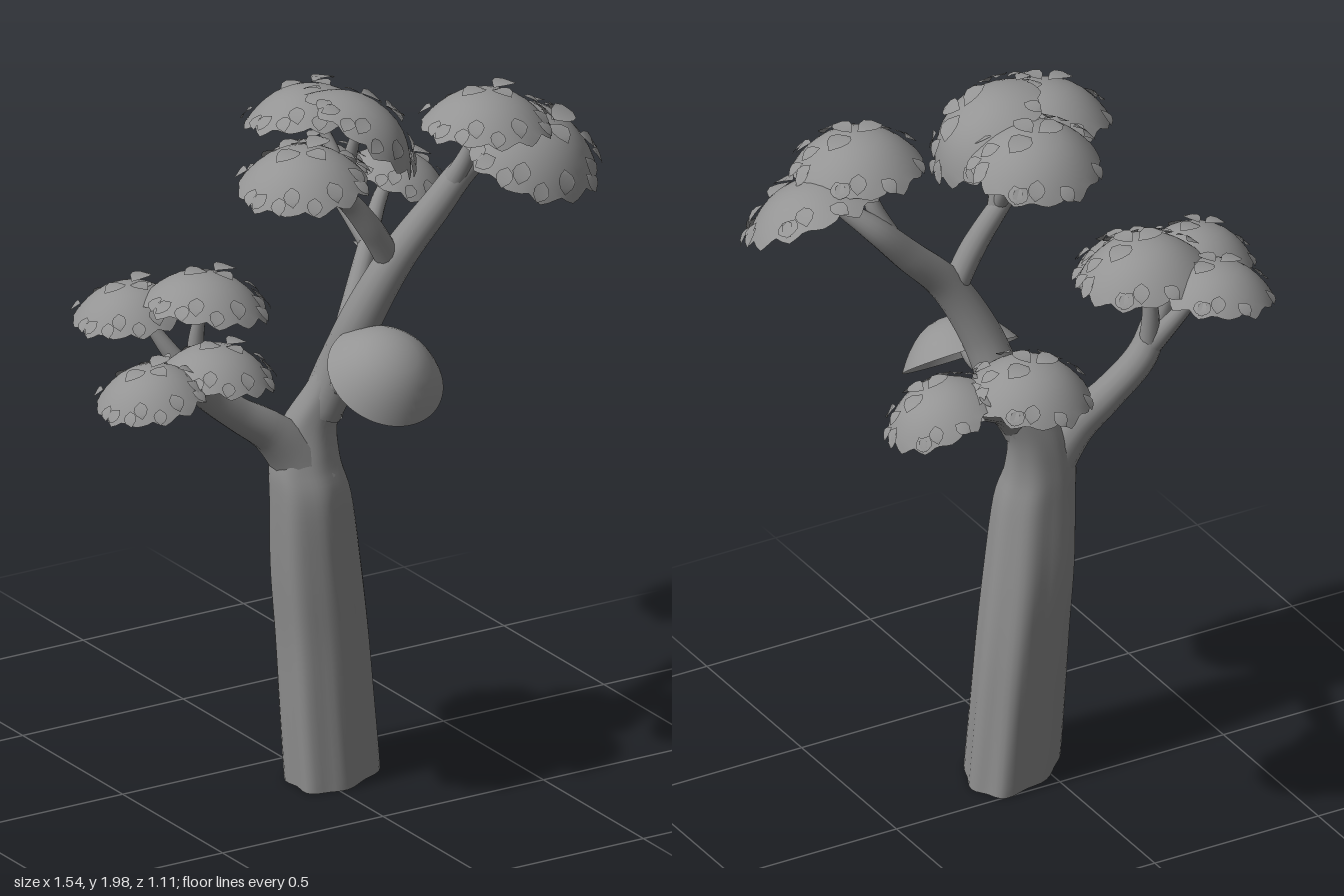
import * as THREE from 'three';
import { mergeVertices, mergeGeometries } from 'three/addons/utils/BufferGeometryUtils.js';

const bark = new THREE.MeshStandardMaterial({ color: 0x8c8c8c, side: THREE.DoubleSide });
const leafMat = new THREE.MeshStandardMaterial({ color: 0x949494, side: THREE.DoubleSide });
const V = (x, y, z) => new THREE.Vector3(x, y, z);

function add(parent, geometry, material, name) {
  const mesh = new THREE.Mesh(geometry, material);
  mesh.name = name;
  parent.add(mesh);
  return mesh;
}

// join the seam and smooth the normals of a reshaped geometry
function smooth(geometry) {
  geometry.deleteAttribute('uv');
  geometry.deleteAttribute('normal');
  const merged = mergeVertices(geometry, 1e-5);
  merged.computeVertexNormals();
  return merged;
}

// trunk extents by height: y, x min, x max, z min, z max
const TRUNK = [
  [0, -0.09, 0.22, 0, 0.285], [0.2, -0.095, 0.2, 0, 0.27], [0.4, -0.1, 0.178, 0, 0.26],
  [0.6, -0.113, 0.148, 0.01, 0.255], [0.8, -0.118, 0.112, 0.035, 0.245],
  [0.9, -0.112, 0.085, 0.047, 0.212], [1.0, -0.075, 0.085, 0.06, 0.185],
  [1.1, -0.005, 0.125, 0.085, 0.19], [1.2, 0.045, 0.15, 0.115, 0.215],
];

// hollow trunk, its section stretched along one diagonal near the ground
function trunkGeometry() {
  const curves = [1, 2, 3, 4].map(k => new THREE.SplineCurve(TRUNK.map(r => new THREE.Vector2(r[0], r[k]))));
  const geometry = new THREE.CylinderGeometry(1, 1, 1, 48, 36, true);
  const p = geometry.attributes.position;
  for (let i = 0; i < p.count; i++) {
    const t = p.getY(i) + 0.5;
    const [x0, x1, z0, z1] = curves.map(c => c.getPoint(t).y);
    const y = curves[0].getPoint(t).x;
    const a = Math.atan2(p.getZ(i), p.getX(i));
    // soft twisting folds that fade upwards
    const ridge = 1 + (1 - t) * (0.025 * Math.cos(4 * a + Math.PI) + 0.045 * Math.cos(7 * a + 2 * t));
    const skew = 0.42 * Math.max(0, 1 - t * 1.5);
    p.setXYZ(i, (x0 + x1) / 2 + Math.cos(a) * ridge * (x1 - x0) / 2, y,
      (z0 + z1) / 2 + Math.sin(a - skew) * ridge * (z1 - z0) / 2);
  }
  return smooth(geometry);
}

// tapering limb along a curve; each point is x, y, z, radius
function limbGeometry(points) {
  const curve = new THREE.CatmullRomCurve3(points.map(q => V(q[0], q[1], q[2])), false, 'centripetal');
  const steps = points.length * 6, sides = 14;
  const geometry = new THREE.TubeGeometry(curve, steps, 1, sides);
  const p = geometry.attributes.position;
  for (let i = 0; i <= steps; i++) {
    const u = curve.getUtoTmapping(i / steps) * (points.length - 1);
    const k = Math.min(Math.floor(u), points.length - 2);
    const radius = THREE.MathUtils.lerp(points[k][3], points[k + 1][3], u - k);
    const centre = curve.getPointAt(i / steps);
    for (let j = 0; j <= sides; j++) {
      const n = i * (sides + 1) + j;
      const v = V().fromBufferAttribute(p, n).sub(centre).multiplyScalar(radius).add(centre);
      p.setXYZ(n, v.x, v.y, v.z);
    }
  }
  return smooth(geometry);
}

const LIMBS = {
  mainLimb: [[0.03, 1.02, 0.13, 0.06], [0.08, 1.14, 0.15, 0.062], [0.125, 1.3, 0.2, 0.056], [0.21, 1.46, 0.235, 0.049],
    [0.325, 1.58, 0.24, 0.043], [0.42, 1.68, 0.25, 0.036], [0.5, 1.75, 0.3, 0.022], [0.55, 1.8, 0.34, 0.01]],
  upperRightTwig: [[0.37, 1.635, 0.245, 0.03], [0.41, 1.74, 0.28, 0.022], [0.42, 1.88, 0.33, 0.01]],
  crownLimb: [[0.19, 1.45, 0.23, 0.035], [0.13, 1.55, 0.235, 0.034], [0.045, 1.66, 0.235, 0.028],
    [-0.06, 1.735, 0.27, 0.022], [-0.14, 1.79, 0.33, 0.017], [-0.18, 1.84, 0.37, 0.008]],
  crownFrontTwig: [[0.06, 1.64, 0.235, 0.025], [0.045, 1.74, 0.25, 0.022], [0.06, 1.9, 0.29, 0.01]],
  crownBackTwig: [[0.05, 1.66, 0.235, 0.022], [0.05, 1.77, 0.17, 0.018], [0.02, 1.9, 0.09, 0.009]],
  leftLimb: [[0.0, 0.84, 0.14, 0.085], [-0.05, 0.92, 0.13, 0.072], [-0.12, 0.995, 0.125, 0.056], [-0.22, 1.065, 0.12, 0.046],
    [-0.32, 1.15, 0.12, 0.043], [-0.38, 1.23, 0.15, 0.034], [-0.5, 1.28, 0.25, 0.022], [-0.62, 1.31, 0.34, 0.009]],
  leftFrontTwig: [[-0.37, 1.21, 0.14, 0.03], [-0.4, 1.27, 0.23, 0.022], [-0.41, 1.34, 0.34, 0.009]],
  leftBackTwig: [[-0.34, 1.17, 0.12, 0.032], [-0.41, 1.28, 0.07, 0.022], [-0.48, 1.42, 0.0, 0.009]],
  leftInnerTwig: [[-0.34, 1.16, 0.12, 0.03], [-0.34, 1.29, 0.11, 0.022], [-0.32, 1.45, 0.13, 0.009]],
  backLimb: [[0.04, 1.02, 0.15, 0.045], [0.12, 1.12, 0.085, 0.039], [0.25, 1.23, -0.05, 0.03],
    [0.36, 1.32, -0.16, 0.026], [0.46, 1.42, -0.25, 0.02], [0.55, 1.49, -0.3, 0.009]],
  backTwig: [[0.37, 1.33, -0.17, 0.025], [0.35, 1.42, -0.28, 0.018], [0.31, 1.52, -0.38, 0.009]],
  frontTwig: [[0.05, 1.08, 0.14, 0.036], [0.07, 1.14, 0.22, 0.028], [0.1, 1.18, 0.3, 0.021], [0.11, 1.25, 0.36, 0.01]],
};

// broad pointed leaf, one unit long, folded along its midrib
function leafGeometry() {
  const shape = new THREE.Shape();
  shape.moveTo(0, 0);
  shape.quadraticCurveTo(0.8, 0.55, 0, 1);
  shape.quadraticCurveTo(-0.8, 0.55, 0, 0);
  const geometry = new THREE.ShapeGeometry(shape, 4);
  const p = geometry.attributes.position;
  for (let i = 0; i < p.count; i++) p.setZ(i, Math.abs(p.getX(i)) * 0.25 - 0.2 * p.getY(i) ** 2);
  geometry.computeVertexNormals();
  return geometry;
}

const RISE = 0.56; // dome height relative to its radius
const domeY = (rho, rise = RISE) => rise * (0.5 - Math.pow(rho, 2.4));

// unit canopy shell, open below, with a plain or ragged rim
function domeGeometry(ragged, rise) {
  const profile = [1, 0.96, 0.88, 0.78, 0.66, 0.52, 0.36, 0.18, 0].map(r => new THREE.Vector2(r, domeY(r, rise)));
  const geometry = new THREE.LatheGeometry(profile, 60);
  const p = geometry.attributes.position;
  for (let i = 0; ragged && i < p.count; i++) {
    const ring = i % profile.length, column = Math.floor(i / profile.length) % 60;
    if (ring > 0) continue;
    const tooth = [-0.7, 0.3, 1, 0.5, -0.2][column % 5] * (0.7 + 0.4 * Math.sin(Math.floor(column / 5) * 2.3));
    const out = 1 + 0.045 * tooth;
    p.setXYZ(i, p.getX(i) * out, p.getY(i) - 0.08 * tooth, p.getZ(i) * out);
  }
  return smooth(geometry);
}

// loose leaves on a unit dome: x, z, size, heading, lift
const LOOSE = [
  [-0.03, 0.02, 0.45, 3.1, 0.15], [0.12, -0.02, 0.48, -0.3, 0.2], [0.05, 0.06, 0.4, 1.3, 0.2],
  [-0.5, 0.5, 0.33, 2.2, 0.1], [0.05, 0.7, 0.36, 1.6, 0.15], [0.5, 0.5, 0.36, 0.9, 0.15],
  [0.55, 0.15, 0.34, 0.3, 0.2], [0.78, 0.05, 0.34, 0, 0.2], [0.35, -0.65, 0.34, -1, 0.2],
];
for (let i = 0; i < 11; i++) {
  const a = i * Math.PI * 2 / 11 + 0.3 * Math.sin(i * 5);
  LOOSE.push([0.84 * Math.cos(a), 0.84 * Math.sin(a), 0.31, a + 0.4 * Math.sin(i * 3), 0.28]);
}

function looseLeaves() {
  const leaf = leafGeometry();
  return mergeGeometries(LOOSE.map(([x, z, size, heading, lift]) => {
    const rho = Math.hypot(x, z), slope = 2.4 * RISE * Math.pow(rho, 0.4);
    const normal = V(x * slope, 1, z * slope).normalize();
    const along = V(Math.cos(heading), 0, Math.sin(heading)).projectOnPlane(normal).normalize()
      .addScaledVector(normal, lift).normalize();
    const side = along.clone().cross(normal).normalize();
    const matrix = new THREE.Matrix4().makeBasis(side, along, side.clone().cross(along));
    matrix.scale(V(size, size, size)).setPosition(V(x, domeY(rho), z).addScaledVector(normal, 0.03));
    return leaf.clone().applyMatrix4(matrix);
  }));
}

// canopies: centre x, y, z, radius, tilt of the axis in x and z
const CANOPIES = [
  [-0.48, 1.4, -0.005, 0.15, -0.1, 0], [-0.32, 1.44, 0.13, 0.168, 0.15, 0], [-0.63, 1.305, 0.34, 0.145, -0.2, 0.05],
  [-0.41, 1.325, 0.34, 0.15, 0.12, 0.05], [-0.18, 1.84, 0.385, 0.172, -0.1, 0.08], [0.02, 1.89, 0.09, 0.172, 0.05, -0.2],
  [0.085, 1.895, 0.295, 0.175, 0.78, 0.2], [0.42, 1.875, 0.345, 0.172, 0.05, 0.0], [0.57, 1.765, 0.355, 0.19, 0.17, 0.5],
  [0.31, 1.51, -0.39, 0.16, -0.05, -0.15], [0.56, 1.465, -0.3, 0.148, 0.4, 0.1],
];

export function createModel() {
  const tree = new THREE.Group();
  tree.name = 'tree';
  add(tree, trunkGeometry(), bark, 'trunk');
  for (const [name, points] of Object.entries(LIMBS)) add(tree, limbGeometry(points), bark, name);

  const dome = domeGeometry(true), leaves = looseLeaves();
  function canopy([x, y, z, radius, tiltX, tiltZ], name) {
    const group = new THREE.Group();
    group.name = name;
    group.position.set(x, y, z);
    group.scale.setScalar(radius);
    group.quaternion.setFromUnitVectors(V(0, 1, 0), V(tiltX, 1, tiltZ).normalize());
    tree.add(group);
    return group;
  }
  CANOPIES.forEach((c, i) => {
    const group = canopy(c, 'canopy' + (i + 1));
    add(group, dome, leafMat, 'canopyShell');
    add(group, leaves, leafMat, 'looseLeaves');
  });

  // smooth low canopy at the front
  add(canopy([0.115, 1.215, 0.36, 0.162, 0, 0.75], 'frontCanopy'), domeGeometry(false, 0.68), leafMat, 'canopyShell');

  // small drooping sprig on the back limb
  const sprig = new THREE.Group();
  sprig.name = 'sprig';
  sprig.position.set(0.4, 1.345, -0.17);
  tree.add(sprig);
  const leaf = leafGeometry();
  for (let i = 0; i < 5; i++) {
    const mesh = add(sprig, leaf, leafMat, 'sprigLeaf');
    mesh.scale.setScalar(0.075);
    mesh.rotation.set(2.2 + 0.2 * Math.sin(i * 2), i * 1.25, 0, 'YXZ');
  }
  return tree;
}
